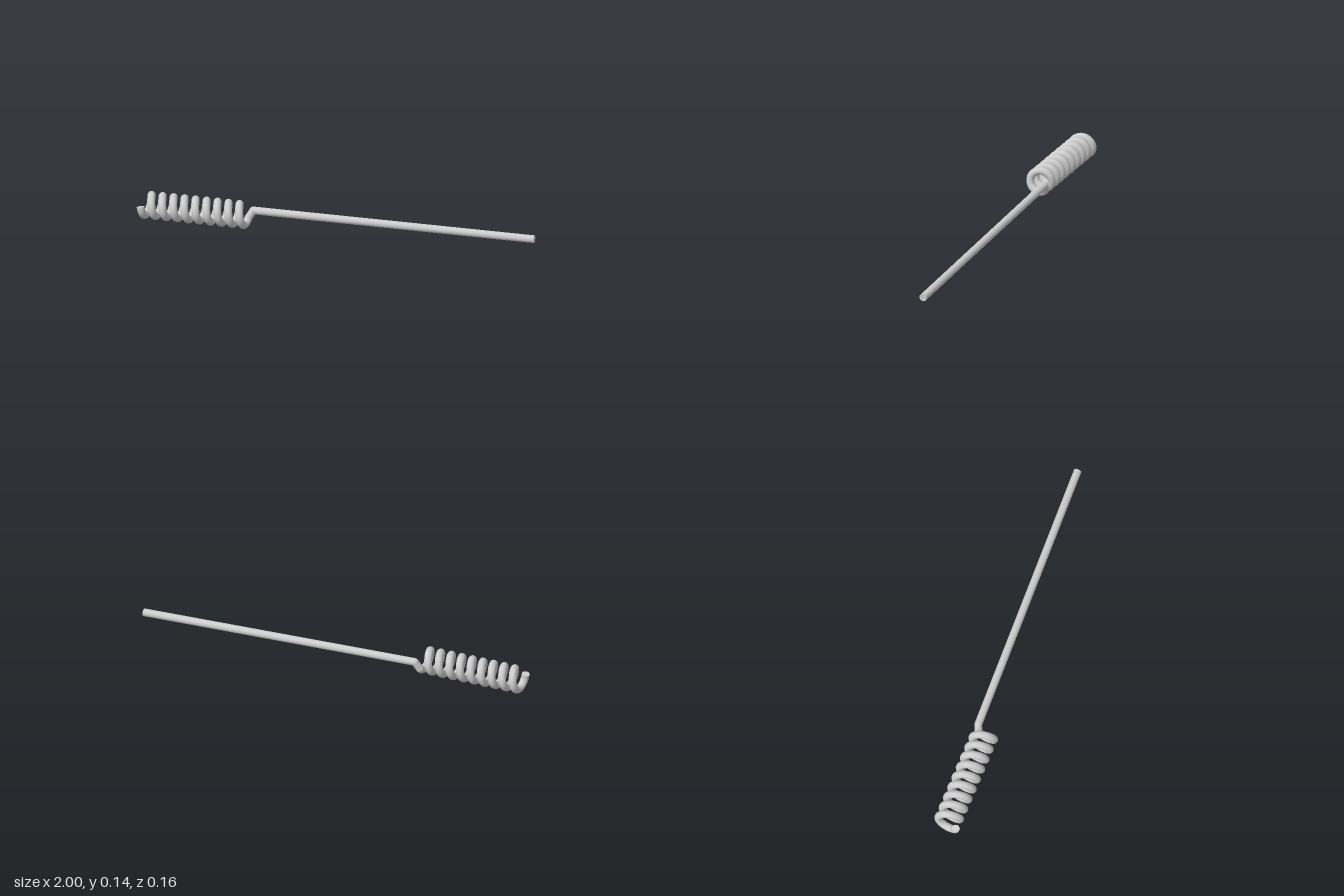
import * as THREE from 'three';

const WIRE = 0.0195;      // wire radius
const COIL = 0.0515;      // coil radius to wire centre
const PITCH = 0.0563;     // advance per turn
const SIDES = 24;
const START = THREE.MathUtils.degToRad(-98);
const END = THREE.MathUtils.degToRad(9 * 360 + 50);

// Helix along x, its axis leaning slightly forward in z; angle 0 is the bottom
class Helix extends THREE.Curve {
  getPoint(t, target = new THREE.Vector3()) {
    const a = START + (END - START) * t;
    return target.set(
      -0.968 + PITCH * a / (2 * Math.PI),
      0.071 - COIL * Math.cos(a),
      -0.008 + 0.016 * t - COIL * Math.sin(a)
    );
  }
}

export function createModel() {
  const group = new THREE.Group();
  const material = new THREE.MeshStandardMaterial({ color: 0xcccccc });

  function add(name, geometry) {
    const mesh = new THREE.Mesh(geometry, material);
    mesh.name = name;
    group.add(mesh);
    return mesh;
  }

  // Straight length of wire between two points
  function addBar(name, from, to) {
    const dir = to.clone().sub(from);
    const bar = add(name, new THREE.CylinderGeometry(WIRE, WIRE, dir.length(), SIDES));
    bar.position.copy(from).add(to).multiplyScalar(0.5);
    bar.quaternion.setFromUnitVectors(new THREE.Vector3(0, 1, 0), dir.normalize());
  }

  // Coiled wire
  const helix = new Helix();
  helix.arcLengthDivisions = 1000;
  add('coil', new THREE.TubeGeometry(helix, 300, WIRE, SIDES));

  // Flat cut at the free end of the coil
  const start = helix.getPoint(0);
  const cap = add('coilEndCap', new THREE.CircleGeometry(WIRE, SIDES));
  cap.position.copy(start);
  cap.lookAt(start.clone().sub(helix.getTangentAt(0)));

  // Short bend out of the last turn, then the long rod
  const elbow = new THREE.Vector3(-0.43, 0.078, -0.041);
  addBar('bend', helix.getPoint(1), elbow);
  add('elbow', new THREE.SphereGeometry(WIRE, SIDES, 12)).position.copy(elbow);
  addBar('rod', elbow, new THREE.Vector3(0.999, 0.06, -0.041));

  // Smooth joint between the last turn and the bend
  add('bendJoint', new THREE.SphereGeometry(WIRE, SIDES, 12)).position.copy(helix.getPoint(1));

  return group;
}
